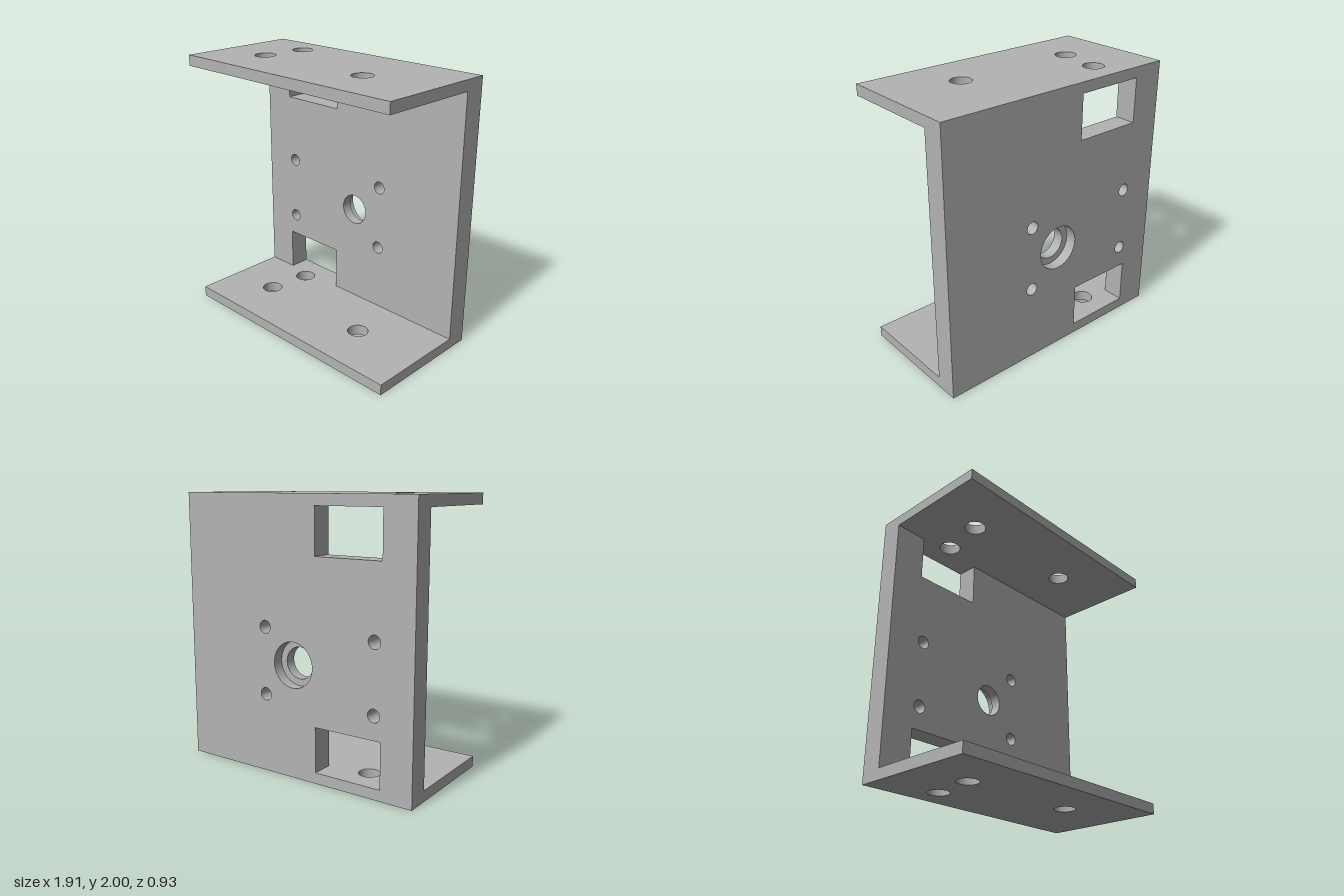
import * as THREE from 'three';

const HALF_W = 0.955, HALF_D = 0.465, HEIGHT = 2, FLANGE = 0.08;
const PLATE_FRONT = -0.303, STEP_Z = -0.383;
const WINDOW = { x0: -0.713, x1: -0.19, height: 0.33 };

function polygon(points) {
  return new THREE.Shape(points.map(([x, y]) => new THREE.Vector2(x, y)));
}

function drill(shape, x, y, r) {
  const hole = new THREE.Path();
  hole.absarc(x, y, r, 0, Math.PI * 2, true);
  shape.holes.push(hole);
}

function extrude(shape, depth) {
  return new THREE.ExtrudeGeometry(shape, { depth, bevelEnabled: false, curveSegments: 32 });
}

// One layer of the back plate: windows open onto the flanges, centre bore and four screw holes
function plateLayer(z0, z1, boreRadius) {
  const lo = FLANGE, hi = HEIGHT - FLANGE;
  const { x0, x1, height } = WINDOW;
  const shape = polygon([
    [-HALF_W, lo], [x0, lo], [x0, lo + height], [x1, lo + height], [x1, lo], [HALF_W, lo],
    [HALF_W, hi], [x1, hi], [x1, hi - height], [x0, hi - height], [x0, hi], [-HALF_W, hi],
  ]);
  drill(shape, 0, 0.825, boreRadius);
  for (const x of [-0.66, 0.245]) for (const y of [0.58, 1.07]) drill(shape, x, y, 0.047);
  return extrude(shape, z1 - z0).translate(0, 0, z0);
}

// Horizontal flange with three mounting holes
function flangeGeometry() {
  const shape = polygon([
    [-HALF_W, -HALF_D], [HALF_W, -HALF_D], [HALF_W, HALF_D], [-HALF_W, HALF_D],
  ]);
  for (const [x, z] of [[-0.55, 0.08], [0.4, 0.08], [-0.5, -0.25]]) drill(shape, x, -z, 0.077);
  return extrude(shape, FLANGE).rotateX(-Math.PI / 2);
}

export function createModel() {
  const group = new THREE.Group();
  group.name = 'mountingBracket';
  const metal = new THREE.MeshStandardMaterial({ color: 0xb3b3b3 });
  metal.name = 'grey metal';

  const add = (name, geometry, y = 0) => {
    const mesh = new THREE.Mesh(geometry, metal);
    mesh.name = name;
    mesh.position.y = y;
    group.add(mesh);
  };

  // Back plate in two layers, the rear one with the wider counterbore
  add('backPlateFront', plateLayer(STEP_Z, PLATE_FRONT, 0.115));
  add('backPlateCounterbore', plateLayer(-HALF_D, STEP_Z, 0.165));

  // Matching flanges
  const flange = flangeGeometry();
  add('bottomFlange', flange);
  add('topFlange', flange, HEIGHT - FLANGE);
  return group;
}
